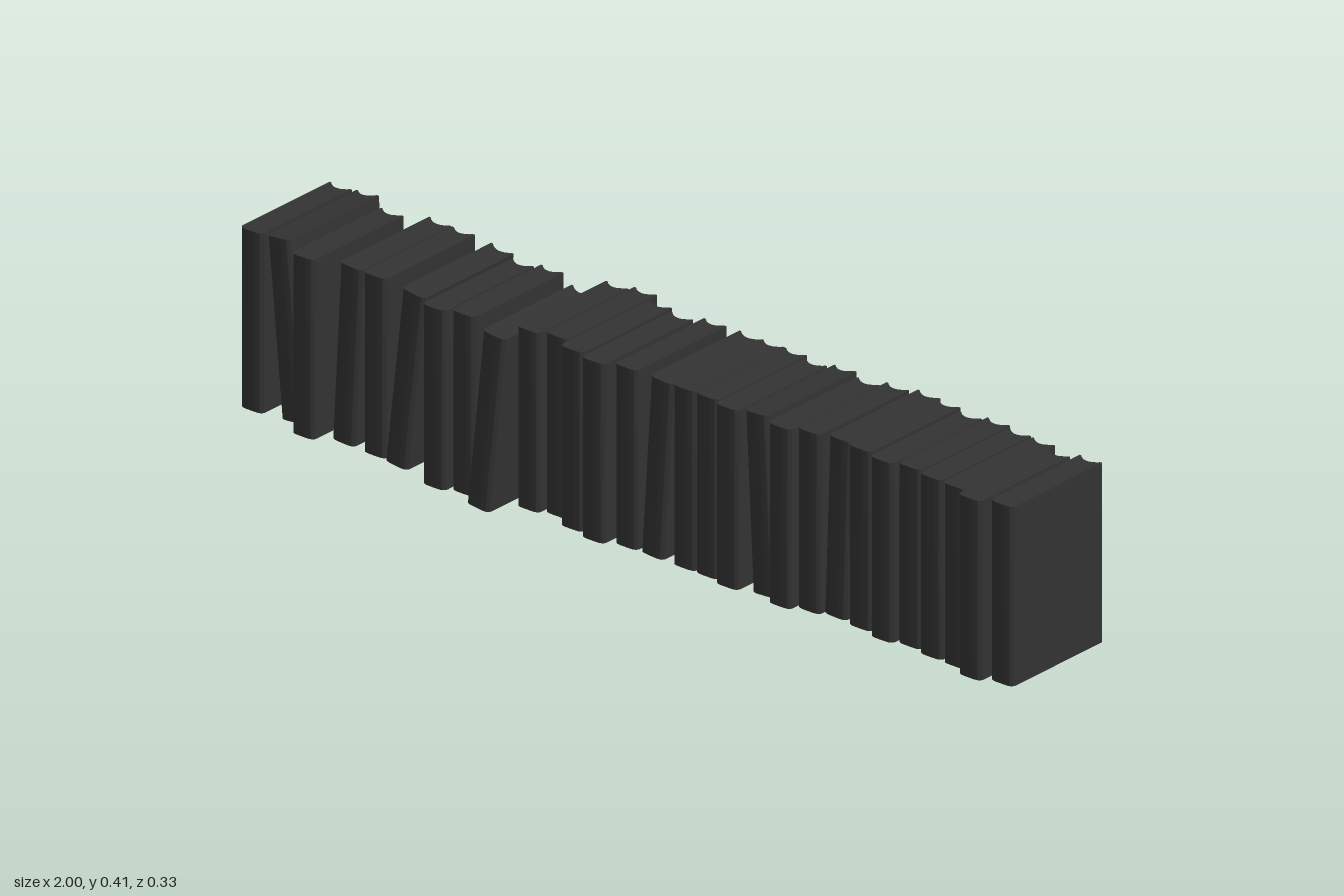
import * as THREE from 'three';
import { toCreasedNormals } from 'three/addons/utils/BufferGeometryUtils.js';

const WIDTH = 0.058, HEIGHT = 0.391, DEPTH = 0.274;

// Book outline seen from above: rounded spine in front, hollow fore-edge behind
function bookGeometry() {
  const w = WIDTH / 2, d = DEPTH / 2;
  const s = new THREE.Shape();
  s.moveTo(-w, d);
  s.lineTo(-w, -d + 0.010);
  s.bezierCurveTo(-w + 0.003, -d - 0.001, -w + 0.012, -d, 0, -d);
  s.bezierCurveTo(w - 0.012, -d, w - 0.003, -d - 0.001, w, -d + 0.010);
  s.lineTo(w, d);
  s.lineTo(w - 0.004, d);
  s.quadraticCurveTo(0, d - 0.026, -w + 0.004, d);
  s.closePath();
  const g = new THREE.ExtrudeGeometry(s, { depth: HEIGHT, bevelEnabled: false, curveSegments: 8 });
  g.rotateX(-Math.PI / 2);
  g.translate(0, -HEIGHT / 2, 0);
  return toCreasedNormals(g, 0.6);
}

// Each book: [x at the foot, x at the top, z, centre height if not 0.212]
const BOOKS = [
  [-0.971, -0.971, -0.008], [-0.875, -0.911, -0.019], [-0.816, -0.816, 0.018],
  [-0.736, -0.715, -0.01], [-0.652, -0.652, -0.007], [-0.588, -0.543, 0.003],
  [-0.484, -0.484, 0.01, 0.2], [-0.422, -0.422, -0.006, 0.2], [-0.358, -0.316, 0.025, 0.198],
  [-0.26, -0.26, -0.013], [-0.199, -0.199, -0.028], [-0.137, -0.137, -0.001],
  [-0.07, -0.07, 0.013], [-0.001, -0.001, -0.007], [0.066, 0.091, -0.007],
  [0.149, 0.149, -0.007], [0.208, 0.208, -0.007], [0.27, 0.27, 0.005],
  [0.35, 0.331, -0.012], [0.406, 0.406, 0.005], [0.465, 0.465, -0.015],
  [0.522, 0.535, -0.028], [0.593, 0.593, -0.02], [0.66, 0.66, -0.007],
  [0.721, 0.721, -0.02], [0.785, 0.785, -0.01], [0.848, 0.848, -0.008],
  [0.905, 0.905, 0.013], [0.971, 0.971, -0.007],
];

export function createModel() {
  const row = new THREE.Group();
  row.name = 'bookRow';
  const geometry = bookGeometry();
  const material = new THREE.MeshStandardMaterial({ color: 0x333333 });
  BOOKS.forEach(([foot, top, z, y = 0.212], i) => {
    const book = new THREE.Mesh(geometry, material);
    book.name = `book${i + 1}`;
    book.position.set((foot + top) / 2, y, z);
    // Some books lean against their neighbours
    book.rotation.z = -Math.asin((top - foot) / HEIGHT);
    row.add(book);
  });
  return row;
}
